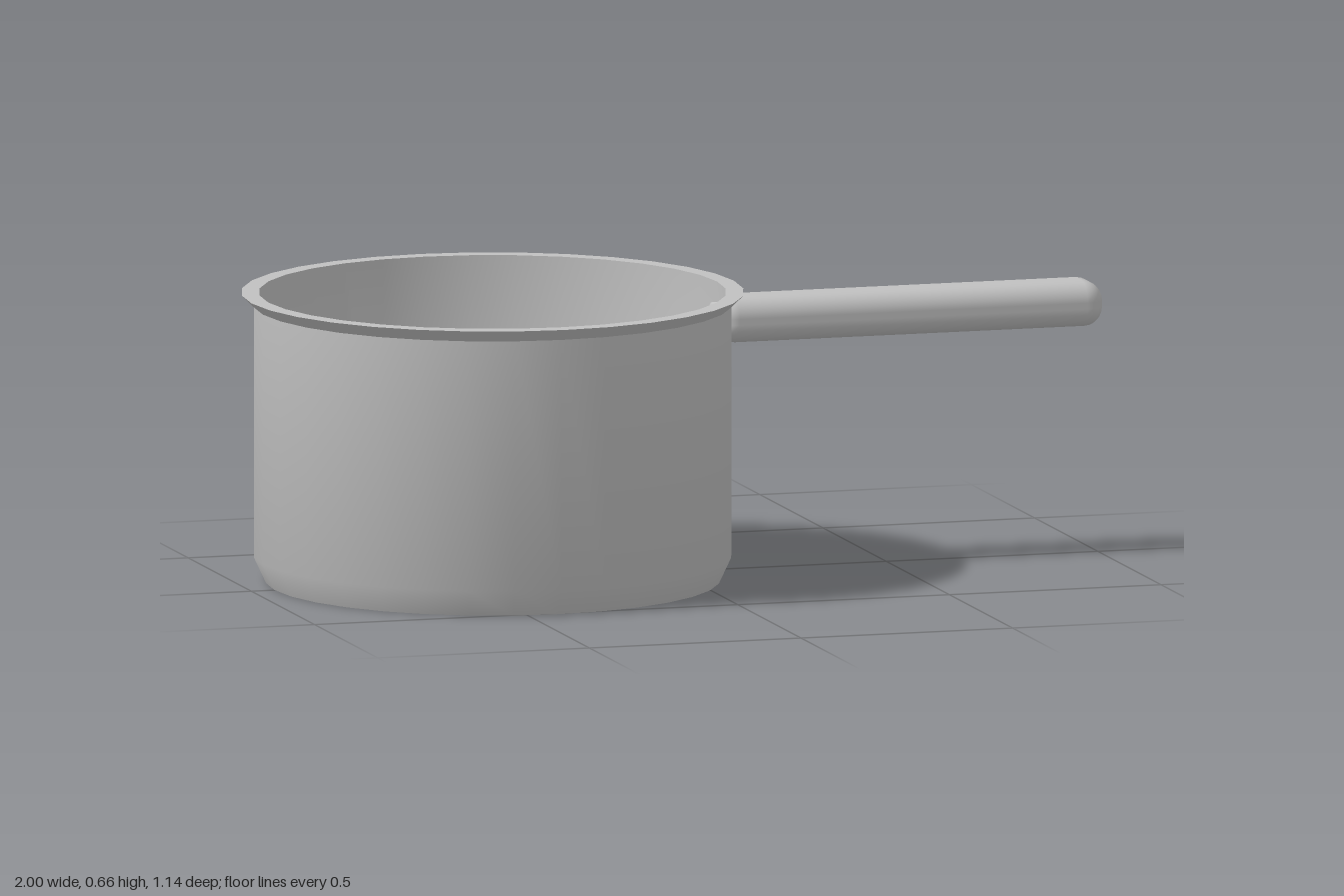
import * as THREE from 'three';
import { toCreasedNormals } from 'three/addons/utils/BufferGeometryUtils.js';
import { RoundedBoxGeometry } from 'three/addons/geometries/RoundedBoxGeometry.js';

export function createModel() {
  const model = new THREE.Group();
  model.name = 'saucepan';
  const steel = new THREE.MeshStandardMaterial({ color: 0xc0c0c0 });
  steel.name = 'steel';

  // Pot: one closed profile, outside up over the flared rim and down the inside
  const profile = [
    [0, 0], [0.515, 0], [0.543, 0.06], [0.543, 0.633], [0.57, 0.66],
    [0.53, 0.66], [0.53, 0.07], [0.505, 0.016], [0, 0.016],
  ].map(([r, y]) => new THREE.Vector2(r, y));
  const pot = new THREE.Mesh(
    toCreasedNormals(new THREE.LatheGeometry(profile, 32, Math.PI / 2), 0.6), steel);
  pot.name = 'pot';
  pot.position.x = -0.43;
  model.add(pot);

  // Handle: rounded bar whose inner end just pokes through the wall
  const start = 0.088, end = 1;
  const handle = new THREE.Mesh(
    new RoundedBoxGeometry(end - start, 0.104, 0.144, 3, 0.045), steel);
  handle.name = 'handle';
  handle.position.set((start + end) / 2, 0.575, 0);
  model.add(handle);

  return model;
}
